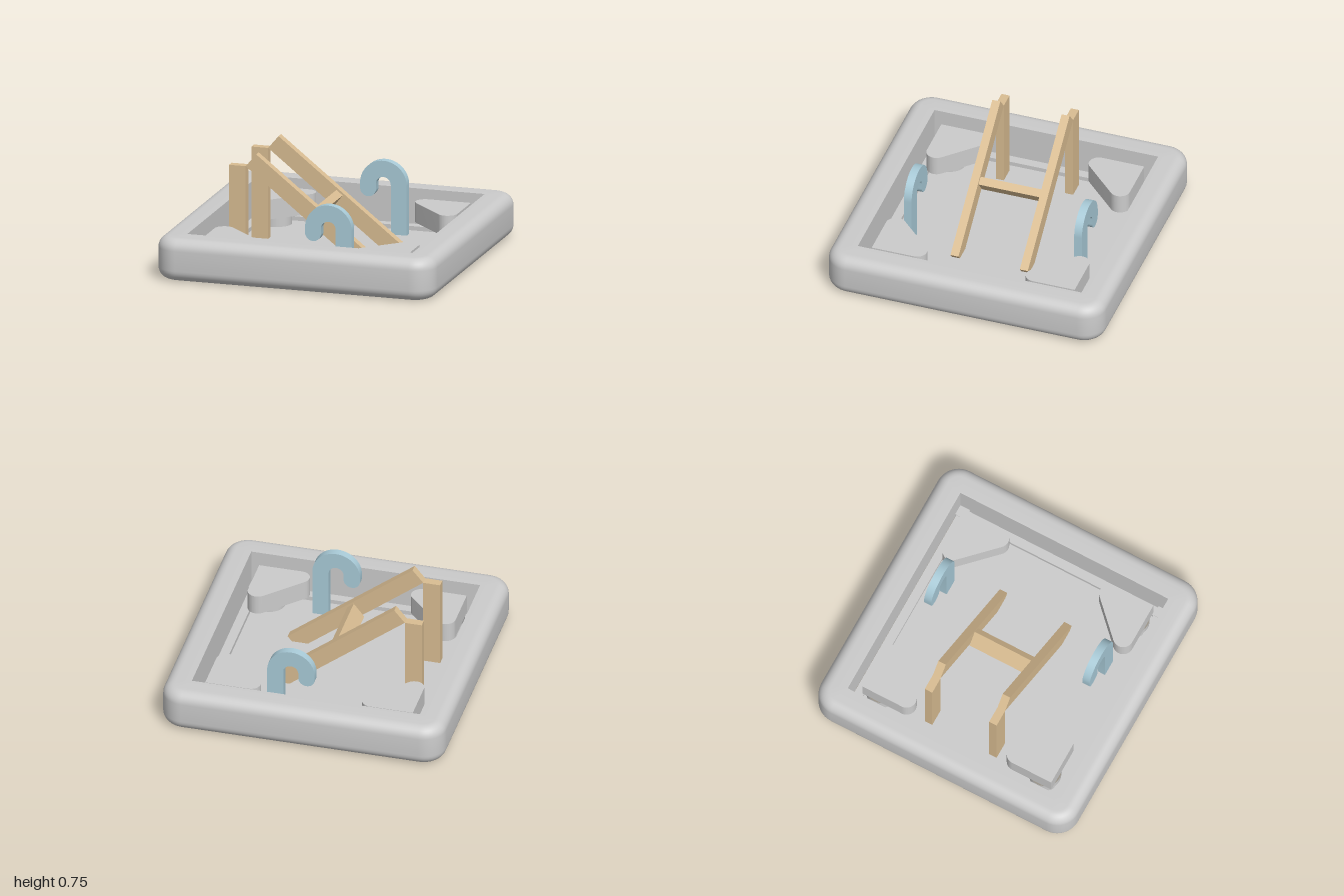
import * as THREE from 'three';
import { toCreasedNormals } from 'three/addons/utils/BufferGeometryUtils.js';

const grey = new THREE.MeshStandardMaterial({ color: 0xcccccc });
const greyOpen = new THREE.MeshStandardMaterial({ color: 0xcccccc, side: THREE.DoubleSide });
const wood = new THREE.MeshStandardMaterial({ color: 0xd9bd92 });
const blue = new THREE.MeshStandardMaterial({ color: 0xa9cbd8 });
const FLOOR = 0.02;

function add(parent, name, geometry, material) {
  const mesh = new THREE.Mesh(geometry, material);
  mesh.name = name;
  parent.add(mesh);
  return mesh;
}

// Box given by its low and high corners
function box(x0, y0, z0, x1, y1, z1) {
  return new THREE.BoxGeometry(x1 - x0, y1 - y0, z1 - z0)
    .translate((x0 + x1) / 2, (y0 + y1) / 2, (z0 + z1) / 2);
}

function extrude(shape, depth) {
  const g = new THREE.ExtrudeGeometry(shape, { depth, bevelEnabled: false, curveSegments: 20 });
  return toCreasedNormals(g, 0.5);
}

// Horizontal slab from a plan shape (shape y becomes z)
function slab(shape, bottom, top) {
  return extrude(shape, top - bottom).rotateX(Math.PI / 2).translate(0, top, 0);
}

function square(h, Type = THREE.Shape) {
  return new Type([[-h, -h], [h, -h], [h, h], [-h, h]].map(([x, y]) => new THREE.Vector2(x, y)));
}

// Square frame with rounded outside, lofted from plan outlines
function frameGeometry() {
  const R = 0.08, H = 0.3, inner = 0.81, corner = 0.16, n = 10;
  const profile = [[inner, 0, 0]];
  const arc = (cy, from) => {
    for (let i = 0; i <= 8; i++) {
      const a = from + (i / 8) * Math.PI / 2;
      const inset = R - R * Math.cos(a);
      profile.push([1 - inset, cy + R * Math.sin(a), corner - inset]);
    }
  };
  arc(R, -Math.PI / 2);
  arc(H - R, 0);
  profile.push([inner, H, 0], [inner, 0, 0]);

  const pos = [], index = [], cols = 4 * (n + 1);
  for (const [h, y, r] of profile) {
    for (let q = 0; q < 4; q++) {
      const mid = (q + 0.5) * Math.PI / 2;
      const cx = Math.sign(Math.cos(mid)) * (h - r), cz = Math.sign(Math.sin(mid)) * (h - r);
      for (let k = 0; k <= n; k++) {
        const a = (q + k / n) * Math.PI / 2;
        pos.push(cx + r * Math.cos(a), y, cz + r * Math.sin(a));
      }
    }
  }
  for (let i = 0; i < profile.length - 1; i++) {
    for (let j = 0; j < cols; j++) {
      const a = i * cols + j, d = i * cols + (j + 1) % cols;
      index.push(a, a + cols, d, d, a + cols, d + cols);
    }
  }
  const g = new THREE.BufferGeometry();
  g.setAttribute('position', new THREE.Float32BufferAttribute(pos, 3));
  g.setIndex(index);
  return toCreasedNormals(g, 0.6);
}

// Corner plate: square corner with two rounded ends
function cornerPlateShape() {
  const e = 0.735, r = 0.07, far = e - r, near = 0.43;
  const s = new THREE.Shape();
  s.moveTo(e, e);
  s.lineTo(near, e);
  s.absarc(near, far, r, Math.PI / 2, Math.PI * 1.25, false);
  s.absarc(far, near, r, Math.PI * 1.25, Math.PI * 2, false);
  s.closePath();
  return s;
}

// Cane-shaped hook with a rounded short end
function hookShape() {
  const cx = 0.152, cy = 0.37, R = 0.168, r = 0.053, tip = (R - r) / 2;
  const s = new THREE.Shape();
  s.moveTo(cx + r, FLOOR);
  s.lineTo(cx + R, FLOOR);
  s.absarc(cx, cy, R, 0, Math.PI, false);
  s.absarc(cx - r - tip, 0.335, tip, Math.PI, Math.PI * 2, false);
  s.absarc(cx, cy, r, Math.PI, 0, true);
  s.closePath();
  return s;
}

export function createModel() {
  const model = new THREE.Group();
  model.name = 'tray';

  add(model, 'outerFrame', frameGeometry(), grey);

  // Floor with four round holes, low rim and corner tabs
  const hole = 0.635, holeR = 0.11;
  const floor = square(0.8);
  for (const x of [-hole, hole]) for (const z of [-hole, hole]) {
    floor.holes.push(new THREE.Path().absarc(x, z, holeR, 0, Math.PI * 2, true));
  }
  add(model, 'floor', slab(floor, 0.005, FLOOR), grey);
  const rim = square(0.8);
  rim.holes.push(square(0.735, THREE.Path));
  add(model, 'floorRim', slab(rim, FLOOR, 0.05), grey);

  for (let i = 0; i < 4; i++) {
    const corner = new THREE.Group();
    corner.name = 'cornerSupport';
    corner.rotation.y = i * Math.PI / 2;
    add(corner, 'cornerTab', box(0.735, 0.005, 0.735, 0.811, 0.055, 0.811), grey);
    add(corner, 'cornerPlate', slab(cornerPlateShape(), 0.11, 0.25), grey);
    add(corner, 'hollowFoot',
      new THREE.CylinderGeometry(holeR, holeR, 0.105, 32, 1, true).translate(hole, 0.0575, hole), greyOpen);
    model.add(corner);
  }

  // Wooden stand: two posts, two leaning bars and a crossbar
  const stand = new THREE.Group();
  stand.name = 'woodenStand';
  model.add(stand);
  const bar = new THREE.Shape([
    [-0.56, 0.665], [0.256, FLOOR], [0.37, FLOOR], [0.4, 0.056], [-0.485, 0.755],
  ].map(([x, y]) => new THREE.Vector2(x, y)));
  for (const z of [-0.28, 0.222]) {
    add(stand, 'post', box(-0.68, FLOOR, z, -0.56, 0.665, z + 0.058), wood);
    add(stand, 'leaningBar', extrude(bar, 0.058).translate(0, 0, z), wood);
  }
  const cross = add(stand, 'crossbar', new THREE.BoxGeometry(0.057, 0.12, 0.444), wood);
  cross.position.set(-0.083, 0.343, 0);
  cross.rotation.z = -0.67;

  // Pair of hooks
  for (const z of [-0.645, 0.589]) {
    add(model, 'hook', extrude(hookShape(), 0.056).translate(0, 0, z), blue);
  }
  return model;
}
